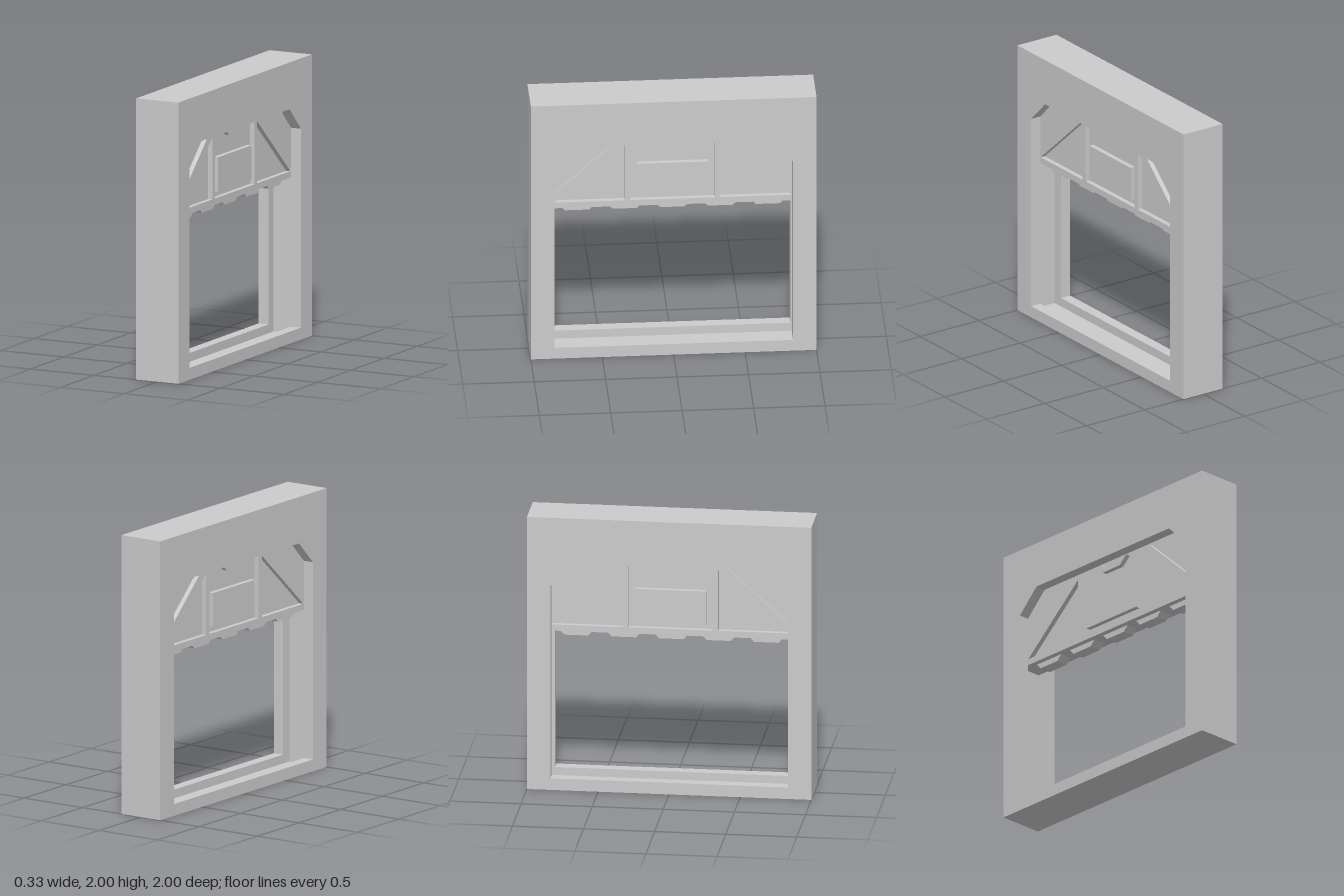
import * as THREE from 'three';

const material = new THREE.MeshStandardMaterial({ color: 0xcccccc, flatShading: true });

// Extrudes a [z, y] outline across the thickness, from x0 to x1.
function slab(name, outline, x0, x1, hole) {
  const toPoints = (list) => list.map(([z, y]) => new THREE.Vector2(z, y));
  const shape = new THREE.Shape(toPoints(outline));
  if (hole) shape.holes.push(new THREE.Path(toPoints(hole)));
  const geometry = new THREE.ExtrudeGeometry(shape, { depth: x1 - x0, bevelEnabled: false });
  geometry.rotateY(-Math.PI / 2);
  geometry.translate(x1, 0, 0);
  const mesh = new THREE.Mesh(geometry, material);
  mesh.name = name;
  return mesh;
}

const rect = (z0, y0, z1, y1) => [[z0, y0], [z1, y0], [z1, y1], [z0, y1]];
const mirror = (outline) => outline.map(([z, y]) => [-z, y]).reverse();

export function createModel() {
  const model = new THREE.Group();
  model.name = 'doorway';

  // Frame: two outer layers with a chamfered opening, and a wider middle layer forming the groove
  const frame = new THREE.Group();
  frame.name = 'frame';
  const outer = rect(-1, 0, 1, 2);
  const opening = [
    [-0.835, 0.085], [0.835, 0.085], [0.835, 1.5],
    [0.667, 1.667], [-0.667, 1.667], [-0.835, 1.5],
  ];
  const groove = 0.088;
  frame.add(
    slab('leftFrameLayer', outer, groove, 0.167, opening),
    slab('rightFrameLayer', outer, -0.167, -groove, opening),
    slab('grooveLayer', outer, -groove, groove, rect(-0.91, 0.022, 0.91, 1.73)),
  );
  model.add(frame);

  // Half-raised sliding door, with the same relief on both faces
  const door = new THREE.Group();
  door.name = 'door';
  const relief = 0.085;
  const raised = (name, outline) => door.add(slab(name, outline, -relief, relief));

  door.add(slab('doorPanel', rect(-0.908, 1.16, 0.908, 1.728), -0.05, 0.05));
  raised('bottomRail', rect(-0.908, 1.145, 0.908, 1.19));
  raised('centrePlate', rect(-0.25, 1.23, 0.25, 1.475));

  // Uprights and diagonal braces on both sides
  const upright = rect(0.295, 1.18, 0.335, 1.72);
  const brace = [[0.835, 1.19], [0.835, 1.25], [0.38, 1.667], [0.335, 1.667], [0.335, 1.632]];
  for (const side of [(o) => o, mirror]) {
    raised('upright', side(upright));
    raised('diagonalBrace', side(brace));
  }

  // Handle rim at the top centre
  raised('handleRim', [
    [-0.15, 1.667], [-0.085, 1.605], [0.085, 1.605], [0.15, 1.667],
    [0.1, 1.667], [0.067, 1.64], [-0.067, 1.64], [-0.1, 1.667],
  ]);

  // Row of tapered teeth along the bottom edge
  for (let i = -2; i <= 2; i++) {
    const z = i * 0.334;
    door.add(slab('tooth', [
      [z - 0.125, 1.147], [z - 0.085, 1.105], [z + 0.085, 1.105], [z + 0.125, 1.147],
    ], -0.045, 0.045));
  }
  model.add(door);

  return model;
}
